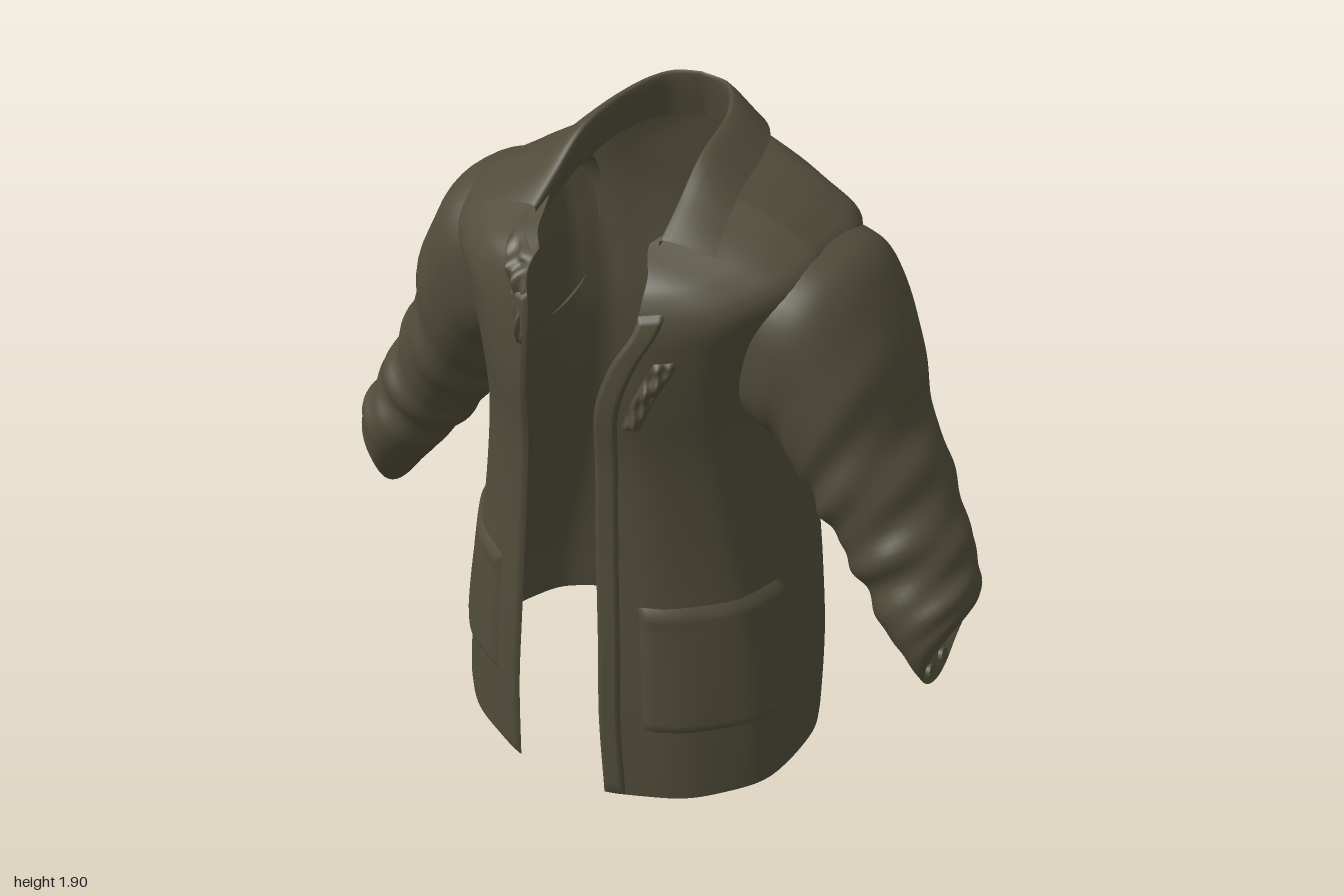
import * as THREE from 'three';

const cloth = new THREE.MeshStandardMaterial({ color: 0x504b39, side: THREE.DoubleSide });
cloth.name = 'olive cloth';

// Smooth interpolation through the rows of a table at a fractional row index
function rowAt(table, k) {
  const last = table.length - 1;
  const i = Math.min(Math.max(Math.floor(k), 0), last - 1), t = k - i;
  const a = table[Math.max(i - 1, 0)], b = table[i], c = table[i + 1], d = table[Math.min(i + 2, last)];
  return b.map((_, j) => {
    const m0 = (c[j] - a[j]) / 2, m1 = (d[j] - b[j]) / 2, t2 = t * t, t3 = t2 * t;
    return (2 * t3 - 3 * t2 + 1) * b[j] + (t3 - 2 * t2 + t) * m0 + (3 * t2 - 2 * t3) * c[j] + (t3 - t2) * m1;
  });
}

// Grid surface from a function of u, v; closed joins the last column to the first
function surface(name, fn, nu, nv, closed = false) {
  const pos = [], idx = [], cols = closed ? nu : nu + 1;
  for (let j = 0; j <= nv; j++) for (let i = 0; i < cols; i++) pos.push(...fn(i / nu, j / nv));
  for (let j = 0; j < nv; j++) for (let i = 0; i < nu; i++) {
    const a = j * cols + i, b = j * cols + (i + 1) % cols;
    idx.push(a, b, a + cols, b, b + cols, a + cols);
  }
  const g = new THREE.BufferGeometry();
  g.setAttribute('position', new THREE.Float32BufferAttribute(pos, 3));
  g.setIndex(idx);
  g.computeVertexNormals();
  const mesh = new THREE.Mesh(g, cloth);
  mesh.name = name;
  return mesh;
}

// Body rows: y front, y side, y back, half width, z front, z back, right edge x, left edge x, back squareness
const BODY = [
  [0.02, 0.05, 0.04, 0.555, 0.44, -0.41, 0.14, 0.15, 0.74],
  [0.29, 0.30, 0.30, 0.54, 0.435, -0.425, 0.14, 0.13, 0.74],
  [0.55, 0.55, 0.55, 0.505, 0.425, -0.435, 0.13, 0.12, 0.74],
  [0.85, 0.85, 0.85, 0.455, 0.41, -0.425, 0.12, 0.105, 0.68],
  [1.10, 1.10, 1.10, 0.43, 0.405, -0.415, 0.11, 0.10, 0.56],
  [1.28, 1.30, 1.32, 0.44, 0.42, -0.41, 0.10, 0.11, 0.42],
  [1.41, 1.46, 1.50, 0.475, 0.415, -0.395, 0.09, 0.15, 0.35],
  [1.50, 1.62, 1.62, 0.515, 0.40, -0.37, 0.09, 0.20, 0.38],
  [1.57, 1.685, 1.72, 0.44, 0.39, -0.35, 0.10, 0.21, 0.5],
  [1.60, 1.73, 1.79, 0.32, 0.385, -0.335, 0.10, 0.20, 0.66],
  [1.62, 1.76, 1.83, 0.20, 0.38, -0.32, 0.10, 0.16, 0.74],
];

// Point on the body; angle 0 faces front and grows towards +x
function bodyPoint(a, k, off = 0) {
  const [yF, yS, yB, hw, zf, zb, , , square] = rowAt(BODY, k);
  const s = Math.sin(a), c = Math.cos(a), p = c > 0 ? 1 : square;
  const x = hw * Math.sign(s) * Math.abs(s) ** p;
  const z = c > 0 ? zf * c : zb * Math.abs(c) ** p;
  const y = c > 0 ? yS + (yF - yS) * c : yS + (yB - yS) * c * c;
  const fold = 0.005 * Math.sin(a * 9 + k * 0.7) * Math.sin(a * 4);
  const sway = 0.004 * Math.max(0, 4 - k);
  return [x + (off + fold) * s - sway, y, z + (off + fold) * c];
}

// Front edge angle at a row; side is 1 for left, -1 for right
function edgeAngle(k, side, inset = 0) {
  const r = rowAt(BODY, k);
  return side * Math.asin(Math.min(0.95, ((side > 0 ? r[7] : r[6]) + inset) / r[3]));
}

// Raised patch following the body, its rim pressed down onto the cloth
function patch(name, angles, k0, k1, lift, nu, nv) {
  return surface(name, (u, v) => {
    const k = k0 + (k1 - k0) * v, [a0, a1] = angles(k);
    const rim = u === 0 || u === 1 || v === 0 || v === 1;
    return bodyPoint(a0 + (a1 - a0) * u, k, rim ? 0 : lift(u, v));
  }, nu, nv);
}

// Sleeve rows: outer x, y, inner x, y, z front, z back
const SLEEVE = [
  [0.36, 1.66, 0.40, 1.16, 0.19, -0.365],
  [0.50, 1.65, 0.43, 1.13, 0.195, -0.375],
  [0.605, 1.60, 0.45, 1.10, 0.185, -0.365],
  [0.71, 1.42, 0.49, 1.03, 0.17, -0.34],
  [0.77, 1.23, 0.54, 0.95, 0.15, -0.31],
  [0.85, 1.08, 0.60, 0.87, 0.14, -0.28],
  [0.92, 0.95, 0.66, 0.79, 0.13, -0.24],
  [0.97, 0.85, 0.74, 0.69, 0.14, -0.21],
  [0.995, 0.78, 0.83, 0.59, 0.14, -0.18],
  [0.985, 0.73, 0.92, 0.485, 0.10, -0.15],
  [0.955, 0.72, 0.90, 0.53, 0.06, -0.13],
];

function sleevePoint(u, v) {
  const k = v * (SLEEVE.length - 1), th = u * Math.PI * 2;
  const [ox, oy, ix, iy, zf, zb] = rowAt(SLEEVE, k);
  const sn = Math.sin(th), cs = Math.cos(th);
  // slanting folds, strongest on the front of the forearm
  const amount = 0.05 * Math.max(0, Math.min((k - 2) / 3, 1, (8.6 - k) / 1.5));
  const wave = Math.sin(k * 4.3 + sn * 2.2) + 0.6 * Math.sin(k * 7.1 - th * 2 + 1);
  const r = 1 + amount * wave * (0.6 + 0.4 * sn);
  // squarer at the shoulder, so it runs on from the yoke
  const p = 0.72 + 0.28 * Math.min(1, k / 4);
  const c = Math.sign(cs) * Math.abs(cs) ** p * r / 2, s = Math.sign(sn) * Math.abs(sn) ** p * r / 2;
  // the cuff opening curves inwards at the middle
  const bend = 0.02 * Math.max(0, k - 8) * sn * sn;
  return [(ox + ix) / 2 + (ox - ix) * c - bend, (oy + iy) / 2 + (oy - iy) * c, (zf + zb) / 2 + (zf - zb) * s];
}

// Half collar rows from back centre to tip: inner, crest and outer edge points
const COLLAR = [
  [0, 1.80, -0.31, 0, 1.925, -0.28, 0, 1.83, -0.345],
  [0.10, 1.79, -0.27, 0.09, 1.915, -0.26, 0.14, 1.825, -0.33],
  [0.16, 1.77, -0.15, 0.15, 1.885, -0.16, 0.24, 1.81, -0.22],
  [0.18, 1.73, 0.02, 0.175, 1.84, 0.01, 0.285, 1.765, 0.0],
  [0.19, 1.67, 0.14, 0.185, 1.755, 0.13, 0.305, 1.71, 0.12],
  [0.20, 1.64, 0.22, 0.19, 1.69, 0.22, 0.33, 1.67, 0.20],
];

function collarPoint(u, v) {
  const t = u * 2 - 1, r = rowAt(COLLAR, Math.abs(t) * (COLLAR.length - 1));
  const [x, y, z] = rowAt([r.slice(0, 3), r.slice(3, 6), r.slice(6, 9)], v * 2);
  return [Math.sign(t) * x, y, z];
}

export function createModel() {
  const model = new THREE.Group();
  model.name = 'jacket';
  const top = BODY.length - 1;

  // Open body shell running from the left front edge round the back to the right
  model.add(surface('body', (u, v) => {
    const k = v * top, a0 = edgeAngle(k, 1), a1 = Math.PI * 2 + edgeAngle(k, -1);
    return bodyPoint(a0 + (a1 - a0) * u, k);
  }, 220, 70));

  model.add(surface('collar', collarPoint, 60, 12));

  for (const side of [1, -1]) {
    const label = side > 0 ? 'left' : 'right';

    // Sleeve with turned-in cuff and small cuff buttons
    const arm = new THREE.Group();
    arm.name = label + 'Sleeve';
    arm.add(surface('sleeve', sleevePoint, 48, 90, true));
    for (const z of [0.03, -0.05]) {
      const button = new THREE.Mesh(new THREE.CylinderGeometry(0.02, 0.02, 0.012, 14), cloth);
      button.name = 'cuffButton';
      button.rotation.z = Math.PI / 2 + 0.25;
      button.position.set(0.92, 0.54, z);
      arm.add(button);
    }
    arm.scale.x = side;
    model.add(arm);

    // Front placket strip
    model.add(patch(label + 'Placket', k => [edgeAngle(k, side), edgeAngle(k, side, 0.06)],
      0, 7.5, () => 0.01, 8, 60));

    // Patch pocket with a slightly fuller top hem
    model.add(patch(label + 'Pocket', () => [side * 0.48, side * 1.47],
      0.92, 2.45, (u, v) => (v > 0.88 ? 0.014 : 0.009 + 0.005 * Math.sin(u * Math.PI)), 28, 24));
  }

  // Crumpled cloth at the chest, fading out at its slanting outer edge
  const crumple = (u, v) => Math.sin(u * Math.PI) * (0.012 + 0.014 * Math.sin(v * 17 + u * 5) * Math.sin(u * 8 + v * 4));
  model.add(patch('rightLapelCrumple', k => [edgeAngle(k, -1, 0.005), edgeAngle(k, -1, 0.02 + 0.03 * (k - 5.7))],
    5.9, 9.5, crumple, 16, 30));
  model.add(patch('leftChestCrumple', k => [0.44 + 0.1 * (k - 5), 0.56 + 0.13 * (k - 5)], 4.7, 6.1, crumple, 12, 18));
  return model;
}
